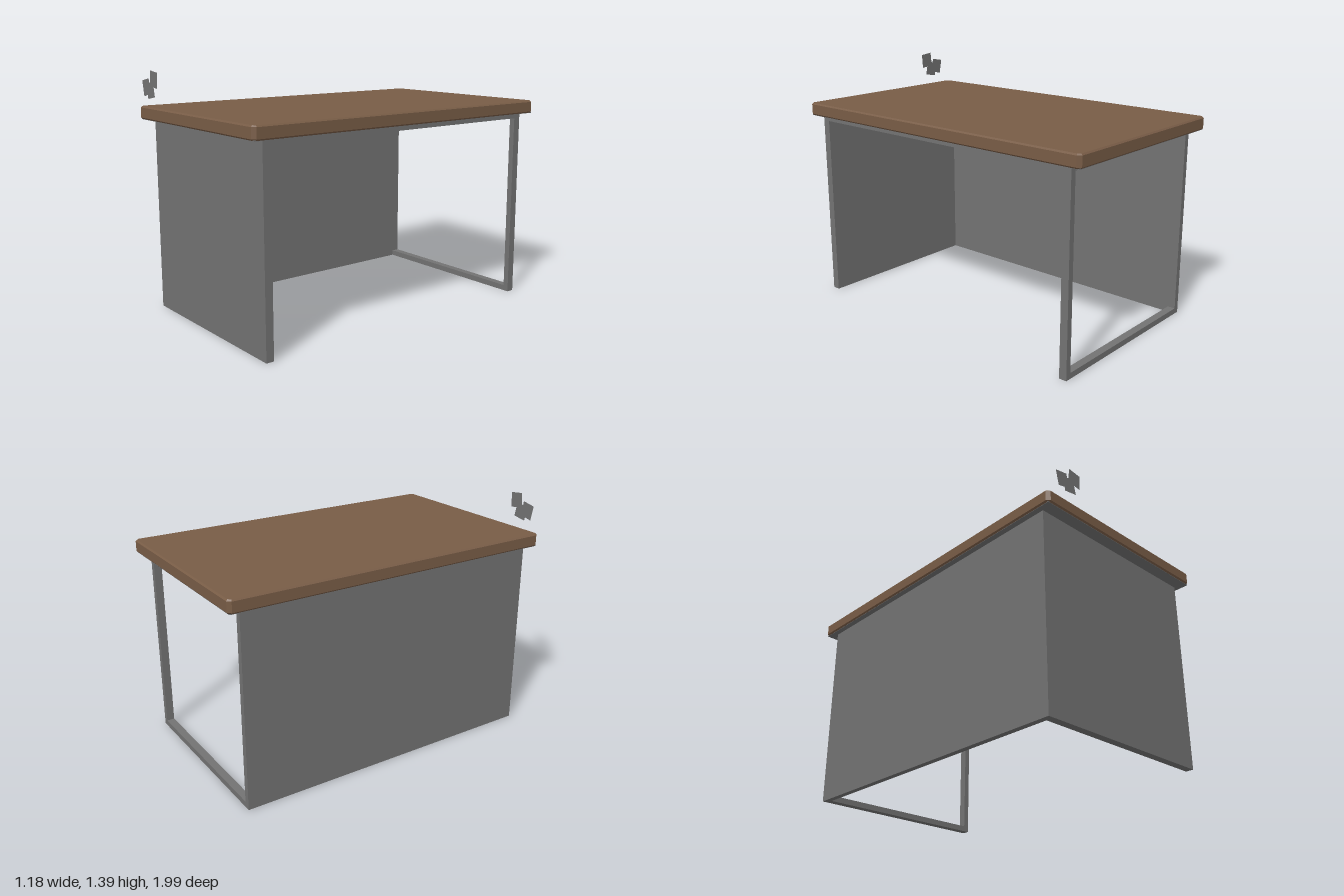
import * as THREE from 'three';

export function createModel() {
  const desk = new THREE.Group();
  desk.name = 'desk';
  const wood = new THREE.MeshStandardMaterial({ color: 0x785c46, flatShading: true });
  wood.name = 'brown wood';
  const metal = new THREE.MeshStandardMaterial({ color: 0x727272, flatShading: true });
  metal.name = 'grey metal';
  metal.side = THREE.DoubleSide;

  const add = (name, geometry, material) => {
    const mesh = new THREE.Mesh(geometry, material);
    mesh.name = name;
    desk.add(mesh);
    return mesh;
  };
  // Box given by its lower and upper limits on each axis
  const box = (name, x0, x1, y0, y1, z0, z1) => {
    const mesh = add(name, new THREE.BoxGeometry(x1 - x0, y1 - y0, z1 - z0), metal);
    mesh.position.set((x0 + x1) / 2, (y0 + y1) / 2, (z0 + z1) / 2);
  };

  const X = 0.55, Z = 0.92, TOP = 1.112, BAR = 0.033, DEEP = 0.045;

  // Table top: slab with cut corners and a small chamfer
  const w = 0.582, d = 0.987, cut = 0.014, bevel = 0.008;
  const outline = new THREE.Shape([
    [-w + cut, -d], [w - cut, -d], [w, -d + cut], [w, d - cut],
    [w - cut, d], [-w + cut, d], [-w, d - cut], [-w, -d + cut],
  ].map(([x, y]) => new THREE.Vector2(x, y)));
  const slab = new THREE.ExtrudeGeometry(outline, {
    depth: 0.073 - 2 * bevel, bevelEnabled: true, bevelSegments: 1,
    bevelSize: bevel, bevelThickness: bevel,
  });
  slab.rotateX(-Math.PI / 2);
  add('tableTop', slab, wood).position.y = TOP + bevel;
  box('underside', -w, w, TOP - 0.002, TOP + 0.002, -d, d);

  // Solid panels at the front and on one long side
  box('frontPanel', -X, X, 0, TOP, Z - DEEP, Z);
  box('sidePanel', -X, -X + BAR, 0, TOP, -Z + DEEP, Z - DEEP);

  // Open frame at the back
  for (const s of [-1, 1]) {
    const cx = s * (X - BAR / 2);
    box('backPost', cx - BAR / 2, cx + BAR / 2, 0, TOP, -Z, -Z + DEEP);
  }
  box('backBottomBar', -X + BAR, X - BAR, 0, BAR, -Z, -Z + DEEP);
  box('backTopBar', -X + BAR, X - BAR, TOP - 0.03, TOP, -Z, -Z + DEEP);

  // Rail under the top on the open side
  box('sideRail', X - BAR, X, TOP - 0.03, TOP, -Z + DEEP, Z - DEEP);

  // Thin upright plate above the front corner
  const plate = new THREE.Shape([
    [-0.53, 1.331], [-0.45, 1.346], [-0.446, 1.322], [-0.435, 1.325],
    [-0.428, 1.39], [-0.347, 1.381], [-0.354, 1.294], [-0.394, 1.298],
    [-0.383, 1.246], [-0.464, 1.232], [-0.468, 1.254], [-0.512, 1.243],
  ].map(([x, y]) => new THREE.Vector2(x, y)));
  add('cornerPlate', new THREE.ShapeGeometry(plate), metal).position.z = 0.998;

  return desk;
}
